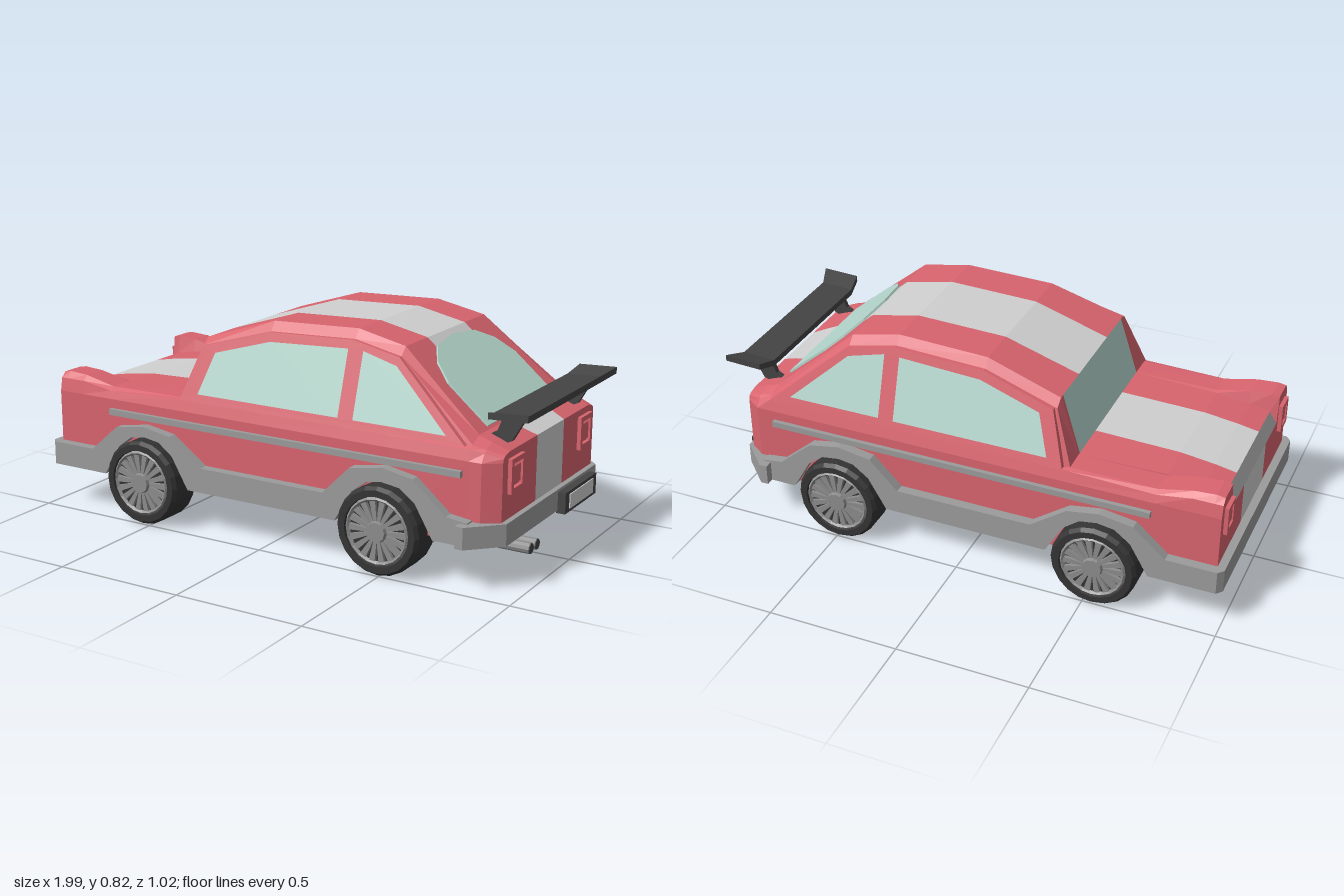
import * as THREE from 'three';

const mat = (name, color) => {
  const m = new THREE.MeshStandardMaterial({ color });
  m.name = name;
  return m;
};

export function createModel() {
  const car = new THREE.Group();
  car.name = 'car';
  const red = mat('red paint', 0xd8646e);
  const white = mat('pale stripe', 0xd0d0d0);
  const grey = mat('grey trim', 0x9b9b9b);
  const glass = mat('glass', 0xb4d6cc);
  const black = mat('black rubber', 0x343434);
  const dark = mat('dark plastic', 0x444444);
  const rim = mat('rim metal', 0x8c8c8c);

  const add = (name, geo, material, parent = car) => {
    const g = geo.index ? geo.toNonIndexed() : geo;
    g.computeVertexNormals();
    const mesh = new THREE.Mesh(g, material);
    mesh.name = name;
    parent.add(mesh);
    return mesh;
  };
  // box given by its limits
  const box = (name, m, x0, x1, y0, y1, z0, z1) =>
    add(name, new THREE.BoxGeometry(x1 - x0, y1 - y0, z1 - z0)
      .translate((x0 + x1) / 2, (y0 + y1) / 2, (z0 + z1) / 2), m);
  const shape = pts => new THREE.Shape(pts.map(p => new THREE.Vector2(...p)));
  const extrude = (s, depth) => new THREE.ExtrudeGeometry(s, { depth, bevelEnabled: false });
  const warp = (geo, rule) => {
    const p = geo.attributes.position, v = new THREE.Vector3();
    for (let i = 0; i < p.count; i++) {
      rule(v.fromBufferAttribute(p, i));
      p.setXYZ(i, v.x, v.y, v.z);
    }
    return geo;
  };

  // ---- body shell: half cross-sections from nose to tail, mirrored
  const lean = y => 0.418 - (y - 0.49) * 0.316;      // inward lean of cabin side
  const section = (x, side, c, d, e, f, g = 0.145) =>
    ({ x, pts: [[side, 0.16], [side, 0.45], c, d, e, f, [g, f[1]]] });
  const cabin = (x, edge, top, w, fz = 0.28) =>
    section(x, 0.43, [lean(0.49), 0.49], [lean(edge), edge], [w, top], [fz, top]);
  const sections = [
    section(-0.97, 0.43, [0.42, 0.5], [0.4, 0.52], [0.31, 0.52], [0.295, 0.41]),
    section(-0.94, 0.43, [0.42, 0.5], [0.4, 0.525], [0.31, 0.525], [0.295, 0.455]),
    section(-0.86, 0.43, [0.42, 0.5], [0.4, 0.52], [0.31, 0.52], [0.295, 0.47]),
    section(-0.73, 0.43, [0.42, 0.48], [0.4, 0.492], [0.31, 0.492], [0.295, 0.487]),
    section(-0.405, 0.43, [0.418, 0.49], [0.4, 0.495], [0.315, 0.497], [0.305, 0.497]),
    cabin(-0.335, 0.695, 0.72, 0.32, 0.3),
    cabin(-0.05, 0.775, 0.81, 0.305),
    cabin(0.3, 0.788, 0.822, 0.3),
    cabin(0.49, 0.752, 0.782, 0.305),
    section(0.8, 0.43, [0.418, 0.49], [0.4, 0.5], [0.35, 0.522], [0.28, 0.522]),
    section(0.85, 0.43, [0.41, 0.48], [0.395, 0.49], [0.35, 0.505], [0.28, 0.505], 0.13),
    section(0.91, 0.39, [0.385, 0.465], [0.375, 0.472], [0.34, 0.48], [0.28, 0.48], 0.115),
  ];
  const rings = sections.map(s => {
    const half = s.pts.map(([z, y]) => [s.x, y, z]);
    return [...half, ...half.slice().reverse().map(([x, y, z]) => [x, y, -z])];
  });
  const faces = new Map([[red, []], [white, []], [glass, []], [grey, []]]);
  const quad = (m, a, b, c, d) => faces.get(m).push(...a, ...b, ...c, ...a, ...c, ...d);
  const last = rings.length - 1;
  for (let i = 0; i < last; i++) {
    const p = rings[i], q = rings[i + 1];
    for (let j = 0; j < 13; j++) {
      let m = j === 6 ? white : red;
      const middle = j >= 5 && j <= 7;
      if (middle && i === 0) m = grey;
      if (middle && i === 4) m = glass;
      quad(m, p[j], q[j], q[j + 1], p[j + 1]);
    }
    quad(red, p[0], p[13], q[13], q[0]);
  }
  for (let j = 1; j < 12; j++) {                      // nose and tail panels
    const m = j === 6 ? white : red;
    const low = p => [p[0], 0.16, p[2]];
    const [a, b, c, d] = [rings[0][j], rings[0][j + 1], rings[last][j], rings[last][j + 1]];
    quad(m, a, b, low(b), low(a));
    quad(m, low(c), low(d), d, c);
  }
  const shellNames = ['bodyShell', 'centreStripe', 'windshield', 'noseStrip'];
  [...faces].forEach(([m, list], i) => {
    const g = new THREE.BufferGeometry();
    g.setAttribute('position', new THREE.Float32BufferAttribute(list, 3));
    add(shellNames[i], g, m);
  });

  // ---- rear window on the sloping back
  const rearGlass = extrude(shape([[-0.27, 0.53], [0.27, 0.53], [0.27, 0.66], [0.225, 0.715],
    [0.145, 0.752], [0, 0.765], [-0.145, 0.752], [-0.225, 0.715], [-0.27, 0.66]]), 0.008);
  add('rearWindow', warp(rearGlass, v => {
    const x = 0.49 + (0.782 - v.y) * (0.31 / 0.26);
    v.set(x + v.z * 0.64, v.y + v.z * 0.77, -v.x);
  }), glass);

  // ---- cabin sides, skirts and rub strips
  const windows = [
    [[-0.325, 0.52], [-0.275, 0.675], [-0.04, 0.742], [0.285, 0.757], [0.285, 0.52]],
    [[0.34, 0.52], [0.34, 0.757], [0.485, 0.722], [0.715, 0.52]],
  ];
  const skirt = [[-0.97, 0.16], [-0.73, 0.16], [-0.66, 0.28], [-0.6, 0.325], [-0.535, 0.335],
    [-0.47, 0.325], [-0.41, 0.28], [-0.34, 0.16], [0.3, 0.16], [0.37, 0.28], [0.43, 0.325],
    [0.49, 0.335], [0.56, 0.325], [0.62, 0.28], [0.69, 0.16], [0.82, 0.16], [0.82, 0.245],
    [0.74, 0.255], [0.61, 0.365], [0.49, 0.387], [0.36, 0.365], [0.25, 0.255], [-0.28, 0.255],
    [-0.42, 0.355], [-0.54, 0.375], [-0.67, 0.355], [-0.79, 0.25], [-0.97, 0.25]];
  for (const s of [1, -1]) {
    const label = s > 0 ? 'left' : 'right';
    // sheet spanning z0..z0+depth outward from the leaning side
    const sideSheet = (name, sh, z0, depth, m) => add(name, warp(
      extrude(sh, depth).translate(0, 0, s > 0 ? z0 : -z0 - depth),
      v => { v.z += s * lean(v.y); }), m);
    const frame = shape([[-0.385, 0.5], [-0.325, 0.695], [-0.05, 0.775], [0.3, 0.788],
      [0.49, 0.752], [0.785, 0.5]]);
    frame.holes = windows.map(w => new THREE.Path(w.map(p => new THREE.Vector2(...p))));
    sideSheet(label + 'WindowFrame', frame, -0.005, 0.02, red);
    windows.forEach((w, i) =>
      sideSheet(label + (i ? 'RearSideWindow' : 'FrontSideWindow'), shape(w), -0.004, 0.008, glass));
    add(label + 'Skirt', extrude(shape(skirt), 0.06).translate(0, 0, s > 0 ? 0.408 : -0.468), grey);
    const z = s * 0.435;
    box(label + 'RubStrip', grey, -0.72, 0.78, 0.392, 0.415, z - 0.012, z + 0.012);
  }

  // ---- bumpers: plan outlines raised to height
  const bumper = (name, pts, y0, y1) => {
    const outline = [...pts, ...pts.slice().reverse().map(([x, z]) => [x, -z])];
    add(name, extrude(shape(outline), y1 - y0).rotateX(-Math.PI / 2).translate(0, y0, 0), grey);
  };
  bumper('frontBumper', [[-0.94, 0.468], [-0.98, 0.468], [-1, 0.445]], 0.16, 0.25);
  bumper('rearBumper', [[0.79, 0.43], [0.79, 0.5], [0.82, 0.5], [0.93, 0.39]], 0.16, 0.24);

  // ---- number plate, blank
  box('plateHolder', dark, 0.925, 0.96, 0.15, 0.23, -0.325, -0.04);
  box('plate', white, 0.957, 0.964, 0.163, 0.218, -0.29, -0.075);

  // ---- square lamps: raised surround and lens
  const lamp = (name, x, y, z, w, h, dir) => {
    const r = (a, b) => [[-a, -b], [a, -b], [a, b], [-a, b]];
    const ring = shape(r(w, h));
    ring.holes.push(new THREE.Path(r(w - 0.018, h - 0.018).map(p => new THREE.Vector2(...p))));
    add(name + 'Surround', extrude(ring, 0.016).rotateY(dir * Math.PI / 2).translate(x, y, z), red);
    const lens = new THREE.CylinderGeometry(0.7 * w, 0.95 * w, 0.012, 4, 1)
      .rotateY(Math.PI / 4).rotateZ(-dir * Math.PI / 2).scale(1, h / w, 1);
    add(name + 'Lens', lens.translate(x + dir * 0.006, y, z), red);
  };
  for (const s of [1, -1]) {
    lamp('tailLamp', 0.909, 0.393, s * 0.297, 0.053, 0.062, 1);
    lamp('headLamp', -0.969, 0.42, s * 0.355, 0.042, 0.055, -1);
  }

  // ---- rear wing with upturned tips, on two struts
  const wing = new THREE.BoxGeometry(0.13, 0.024, 0.78, 1, 1, 3);
  add('rearWing', warp(wing, v => {
    const tip = Math.abs(v.z) > 0.2;
    v.y += 0.588 + v.x * 0.05 + (tip ? 0.022 : 0);
    v.x = 0.9 + v.x * (tip ? 1.12 : 1) + (tip ? 0.022 : 0);
    v.z = tip ? v.z : Math.sign(v.z) * 0.31;
  }), dark);
  for (const s of [1, -1]) {
    const strut = shape([[0.79, 0.5], [0.86, 0.485], [0.895, 0.5], [0.94, 0.58], [0.86, 0.58], [0.84, 0.53]]);
    add('wingStrut', extrude(strut, 0.02).translate(0, 0, s * 0.283 - 0.01), dark);
  }

  // ---- twin exhaust
  for (const z of [0.255, 0.305]) {
    add('exhaustPipe', new THREE.CylinderGeometry(0.02, 0.02, 0.32, 10)
      .rotateZ(Math.PI / 2).translate(0.823, 0.137, z), rim);
    add('exhaustOpening', new THREE.CylinderGeometry(0.019, 0.019, 0.004, 10)
      .rotateZ(Math.PI / 2).translate(0.984, 0.137, z), dark);
  }

  // ---- wheels
  const tyreProfile = [[0, -0.07], [0.15, -0.07], [0.163, -0.055], [0.163, 0.055], [0.152, 0.07],
    [0.128, 0.07], [0.122, 0.05], [0, 0.05]].map(p => new THREE.Vector2(...p));
  for (const x of [-0.535, 0.49]) for (const s of [1, -1]) {
    const wheel = new THREE.Group();
    wheel.name = (x < 0 ? 'front' : 'rear') + (s > 0 ? 'LeftWheel' : 'RightWheel');
    wheel.position.set(x, 0.163, s * 0.435);
    if (s < 0) wheel.rotation.y = Math.PI;
    add('tyre', new THREE.LatheGeometry(tyreProfile, 20).rotateX(Math.PI / 2), black, wheel);
    add('rimRing', new THREE.TorusGeometry(0.118, 0.009, 4, 20).translate(0, 0, 0.06), rim, wheel);
    add('hub', new THREE.CylinderGeometry(0.036, 0.045, 0.03, 12)
      .rotateX(Math.PI / 2).translate(0, 0, 0.06), rim, wheel);
    for (let k = 0; k < 18; k++) {
      const spoke = warp(new THREE.BoxGeometry(0.085, 0.02, 0.014), v => {
        v.y *= v.x < 0 ? 0.6 : 1.25;
        v.x += 0.078;
      });
      add('spoke', spoke.rotateZ(k * Math.PI / 9).translate(0, 0, 0.056), rim, wheel);
    }
    car.add(wheel);
  }
  return car;
}
